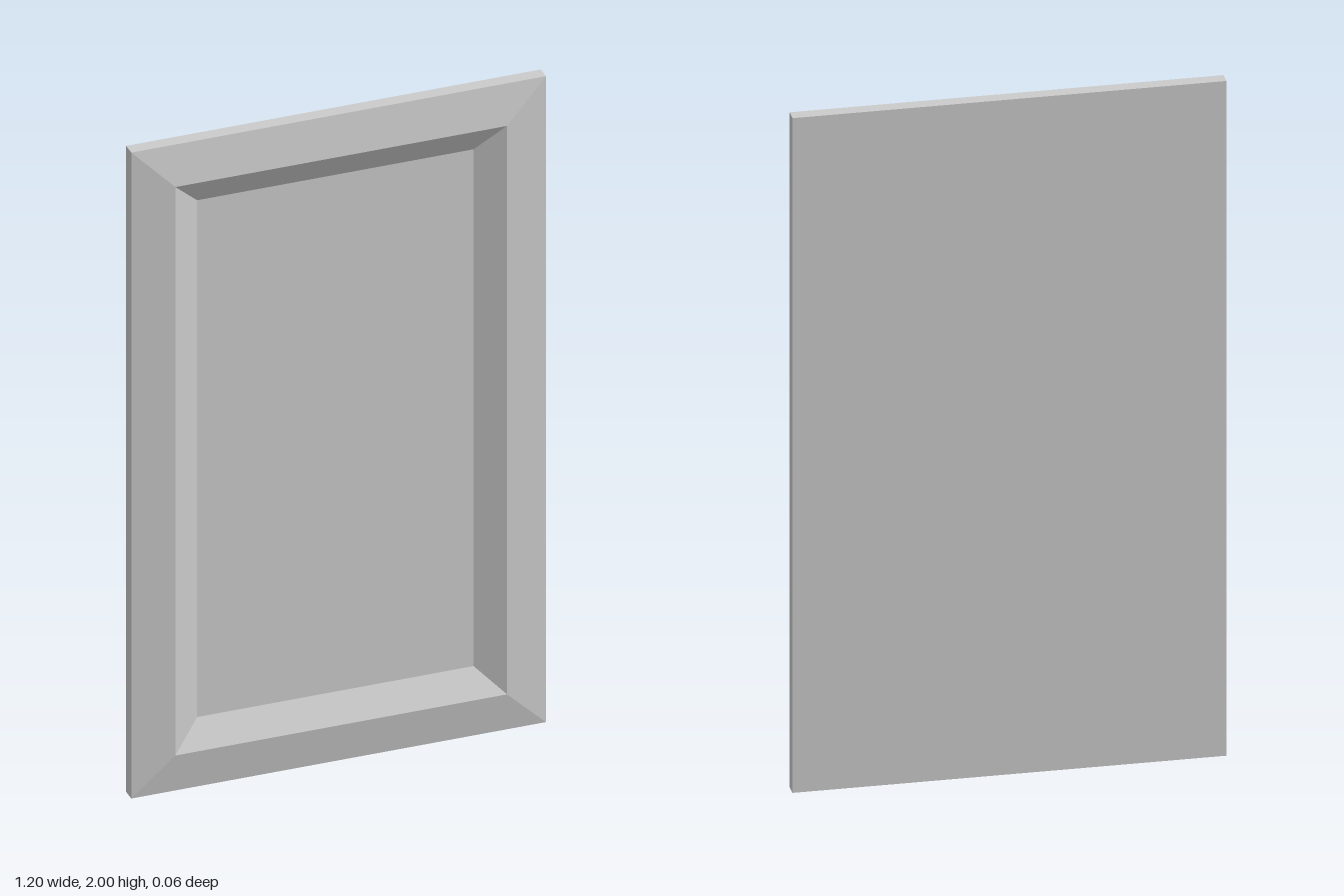
import * as THREE from 'three';

// Corners of a rectangular ring, inset from the outer edge at depth z
const ring = (inset, z) => {
  const x = 0.6 - inset;
  return [[-x, inset, z], [x, inset, z], [x, 2 - inset, z], [-x, 2 - inset, z]];
};

const quad = (a, b, c, d) => [a, b, c, a, c, d].flat();

function makeMesh(name, positions) {
  const geometry = new THREE.BufferGeometry();
  geometry.setAttribute('position', new THREE.Float32BufferAttribute(positions, 3));
  geometry.computeVertexNormals();
  const mesh = new THREE.Mesh(geometry, new THREE.MeshStandardMaterial({ color: 0xcccccc, flatShading: true }));
  mesh.name = name;
  return mesh;
}

// Mitred band of four faces joining two rings
function band(name, from, to) {
  const positions = [];
  for (let i = 0; i < 4; i++) {
    const j = (i + 1) % 4;
    positions.push(...quad(from[i], from[j], to[j], to[i]));
  }
  return makeMesh(name, positions);
}

export function createModel() {
  const group = new THREE.Group();
  group.name = 'framedPanel';

  const back = ring(0, -0.03);
  const edge = ring(0, 0.01);
  const ridge = ring(0.12, 0.03);
  const recess = ring(0.2, -0.015);

  // Outer sides, sloping frame, inner bevel
  group.add(band('outerSides', back, edge));
  group.add(band('frameFace', edge, ridge));
  group.add(band('innerBevel', ridge, recess));

  // Recessed centre and flat back
  group.add(makeMesh('centrePanel', quad(...recess)));
  group.add(makeMesh('backPanel', quad(...back.slice().reverse())));
  return group;
}
